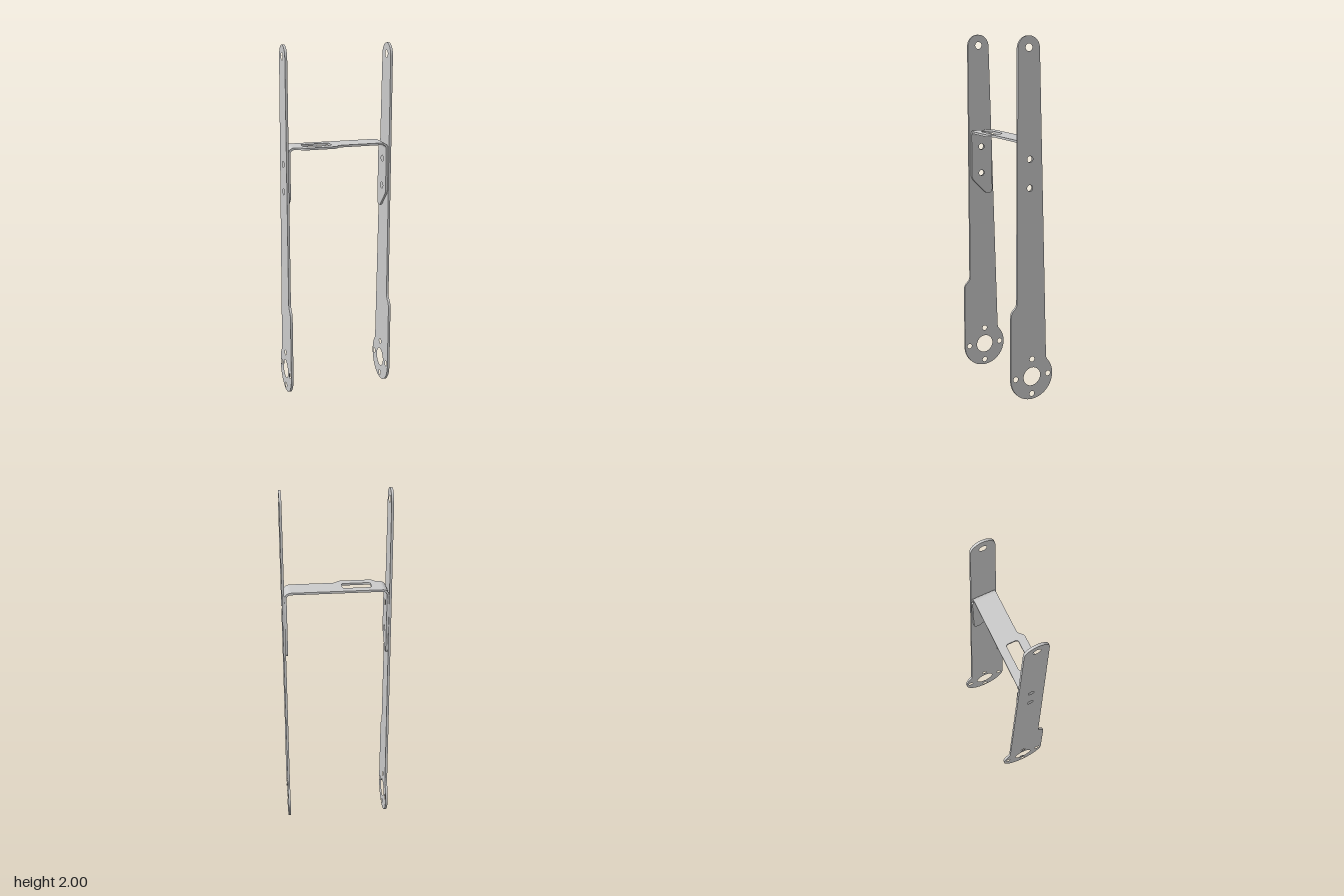
import * as THREE from 'three';
import { toCreasedNormals } from 'three/addons/utils/BufferGeometryUtils.js';

const material = new THREE.MeshStandardMaterial({ color: 0xcccccc });
const INNER = 0.285, PLATE = 0.013; // inner face of the side plates, plate thickness
const SHEET = 0.012, TOP = 1.46, BEND = 0.035; // bracket sheet, top height, outer bend radius
const BACK = -0.045, FRONT = 0.083; // bracket depth range

function hole(shape, x, y, r) {
  shape.holes.push(new THREE.Path().absarc(x, y, r, 0, Math.PI * 2, true));
}

function extrude(shape, depth) {
  return new THREE.ExtrudeGeometry(shape, { depth, bevelEnabled: false, curveSegments: 20 });
}

function part(name, geometry) {
  const mesh = new THREE.Mesh(toCreasedNormals(geometry, 0.5), material);
  mesh.name = name;
  return mesh;
}

// Turns a (z, y) profile into a sheet whose outer face lies at x
function uprightSheet(shape, thickness, x) {
  return extrude(shape, thickness).rotateY(-Math.PI / 2).translate(x, 0, 0);
}

// Tapered arm with a rounded tip and a round motor mount at the foot
function armShape() {
  const s = new THREE.Shape();
  s.moveTo(0.095, 1.935);
  s.lineTo(0.095, 0.575);
  s.bezierCurveTo(0.095, 0.535, 0.132, 0.545, 0.132, 0.495);
  s.lineTo(0.132, 0.132);
  s.absarc(0, 0.132, 0.132, 0, -Math.PI - 0.72, true);
  s.quadraticCurveTo(-0.091, 0.228, -0.09, 0.25);
  s.lineTo(-0.035, 1.938);
  s.absarc(0.03, 1.935, 0.065, Math.PI, 0, true);
  hole(s, 0.03, 1.94, 0.02);
  hole(s, 0.02, 1.36, 0.017);
  hole(s, 0.02, 1.205, 0.017);
  hole(s, 0, 0.135, 0.053);
  for (const [z, y] of [[0, 0.237], [0, 0.032], [0.103, 0.135], [-0.103, 0.135]]) hole(s, z, y, 0.015);
  return s;
}

// Bracket flange with its lower front corner cut off
function flangeShape() {
  const s = new THREE.Shape();
  s.moveTo(FRONT, TOP - BEND);
  s.lineTo(FRONT, 1.195);
  s.quadraticCurveTo(FRONT, 1.175, 0.068, 1.16);
  s.lineTo(0.0, 1.092);
  s.quadraticCurveTo(-0.012, 1.08, -0.025, 1.08);
  s.quadraticCurveTo(-0.05, 1.08, -0.05, 1.105);
  s.lineTo(-0.05, 1.39);
  s.lineTo(BACK, 1.40);
  s.lineTo(BACK, TOP - BEND);
  hole(s, 0.02, 1.36, 0.017);
  hole(s, 0.02, 1.205, 0.017);
  return s;
}

// Quarter-round bend joining the bridge to a flange
function bendShape() {
  const s = new THREE.Shape();
  s.moveTo(BEND, 0);
  s.absarc(0, 0, BEND, 0, Math.PI / 2, false);
  s.lineTo(0, BEND - SHEET);
  s.absarc(0, 0, BEND - SHEET, Math.PI / 2, 0, true);
  return s;
}

// Bridge seen from above, with a front tab and a rounded slot (shape y = -z)
function bridgeShape() {
  const w = INNER - BEND;
  const s = new THREE.Shape();
  s.moveTo(-w, -BACK);
  s.lineTo(-w, -FRONT);
  s.lineTo(-0.25, -FRONT);
  s.bezierCurveTo(-0.21, -FRONT, -0.225, -0.112, -0.19, -0.112);
  s.lineTo(-0.04, -0.112);
  s.bezierCurveTo(-0.005, -0.112, -0.02, -FRONT, 0.02, -FRONT);
  s.lineTo(w, -FRONT);
  s.lineTo(w, -BACK);

  const x0 = -0.195, x1 = -0.035, y0 = -0.068, y1 = 0, r = 0.013;
  const slot = new THREE.Path();
  slot.absarc(x1 - r, y1 - r, r, Math.PI / 2, 0, true);
  slot.absarc(x1 - r, y0 + r, r, 0, -Math.PI / 2, true);
  slot.absarc(x0 + r, y0 + r, r, -Math.PI / 2, -Math.PI, true);
  slot.absarc(x0 + r, y1 - r, r, Math.PI, Math.PI / 2, true);
  slot.closePath();
  s.holes.push(slot);
  return s;
}

export function createModel() {
  const model = new THREE.Group();
  model.name = 'armFrame';

  // Side arms
  model.add(part('leftArm', uprightSheet(armShape(), PLATE, INNER + PLATE)));
  model.add(part('rightArm', uprightSheet(armShape(), PLATE, -INNER)));

  // Bent cross bracket
  const bracket = new THREE.Group();
  bracket.name = 'crossBracket';
  bracket.add(part('bridge', extrude(bridgeShape(), SHEET).rotateX(-Math.PI / 2).translate(0, TOP - SHEET, 0)));
  bracket.add(part('leftFlange', uprightSheet(flangeShape(), SHEET, INNER)));
  bracket.add(part('rightFlange', uprightSheet(flangeShape(), SHEET, -INNER + SHEET)));
  const bend = () => extrude(bendShape(), FRONT - BACK);
  bracket.add(part('leftBend', bend().translate(INNER - BEND, TOP - BEND, BACK)));
  bracket.add(part('rightBend', bend().rotateY(Math.PI).translate(-INNER + BEND, TOP - BEND, FRONT)));
  model.add(bracket);

  return model;
}
